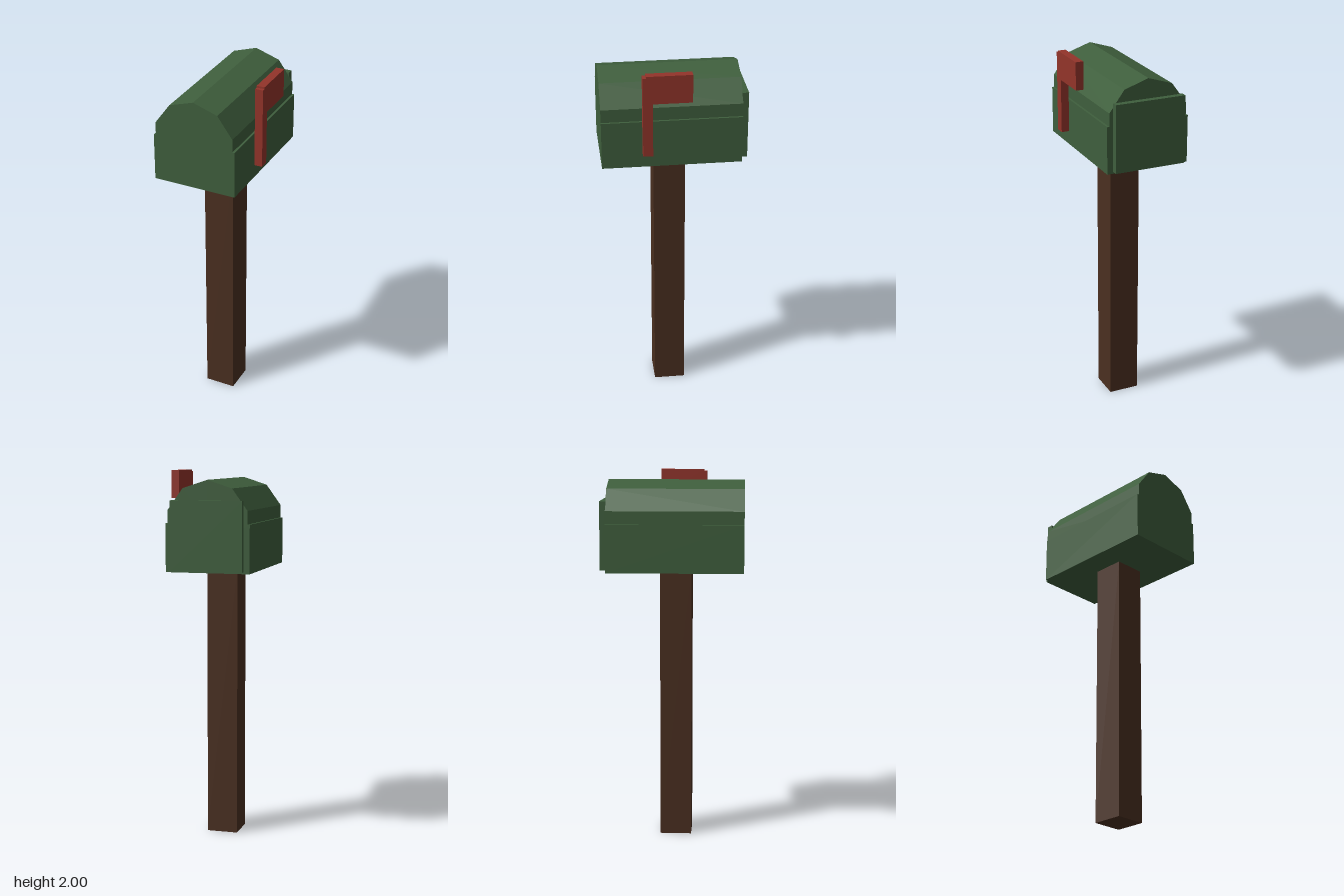
import * as THREE from 'three';

const material = (color) => new THREE.MeshStandardMaterial({ color, flatShading: true });

export function createModel() {
  const model = new THREE.Group();
  model.name = 'mailbox';
  const green = material(0x3f5f3d);
  const brown = material(0x4a2f20);
  const red = material(0x93342a);

  // Box given by its [min, max] range on each axis
  const addBox = (name, mat, x, y, z, parent = model) => {
    const size = [x, y, z].map(([a, b]) => b - a);
    const mesh = new THREE.Mesh(new THREE.BoxGeometry(...size), mat);
    mesh.position.set(...[x, y, z].map(([a, b]) => (a + b) / 2));
    mesh.name = name;
    parent.add(mesh);
  };

  // Square wooden post
  addBox('post', brown, [-0.114, 0.055], [0, 1.476], [-0.07, 0.1]);

  // Lower half of the mailbox
  addBox('boxBody', green, [-0.255, 0.199], [1.475, 1.73], [-0.351, 0.381]);

  // Ten-sided barrel forming the rounded roof, one corner pointing up
  const roofGeometry = new THREE.CylinderGeometry(0.226, 0.226, 0.732, 10);
  roofGeometry.rotateX(-Math.PI / 2);
  const roof = new THREE.Mesh(roofGeometry, green);
  roof.position.set(-0.028, 1.73, 0.015);
  roof.name = 'roof';
  model.add(roof);

  // Door panel on the back end
  addBox('door', green, [-0.222, 0.166], [1.485, 1.85], [-0.383, -0.349]);

  // Signal flag standing just off the left side
  const flag = new THREE.Group();
  flag.name = 'signalFlag';
  addBox('flagArm', red, [0.21, 0.253], [1.56, 1.99], [0.12, 0.171], flag);
  addBox('flagPlate', red, [0.21, 0.253], [1.85, 2], [-0.083, 0.154], flag);
  model.add(flag);

  return model;
}
